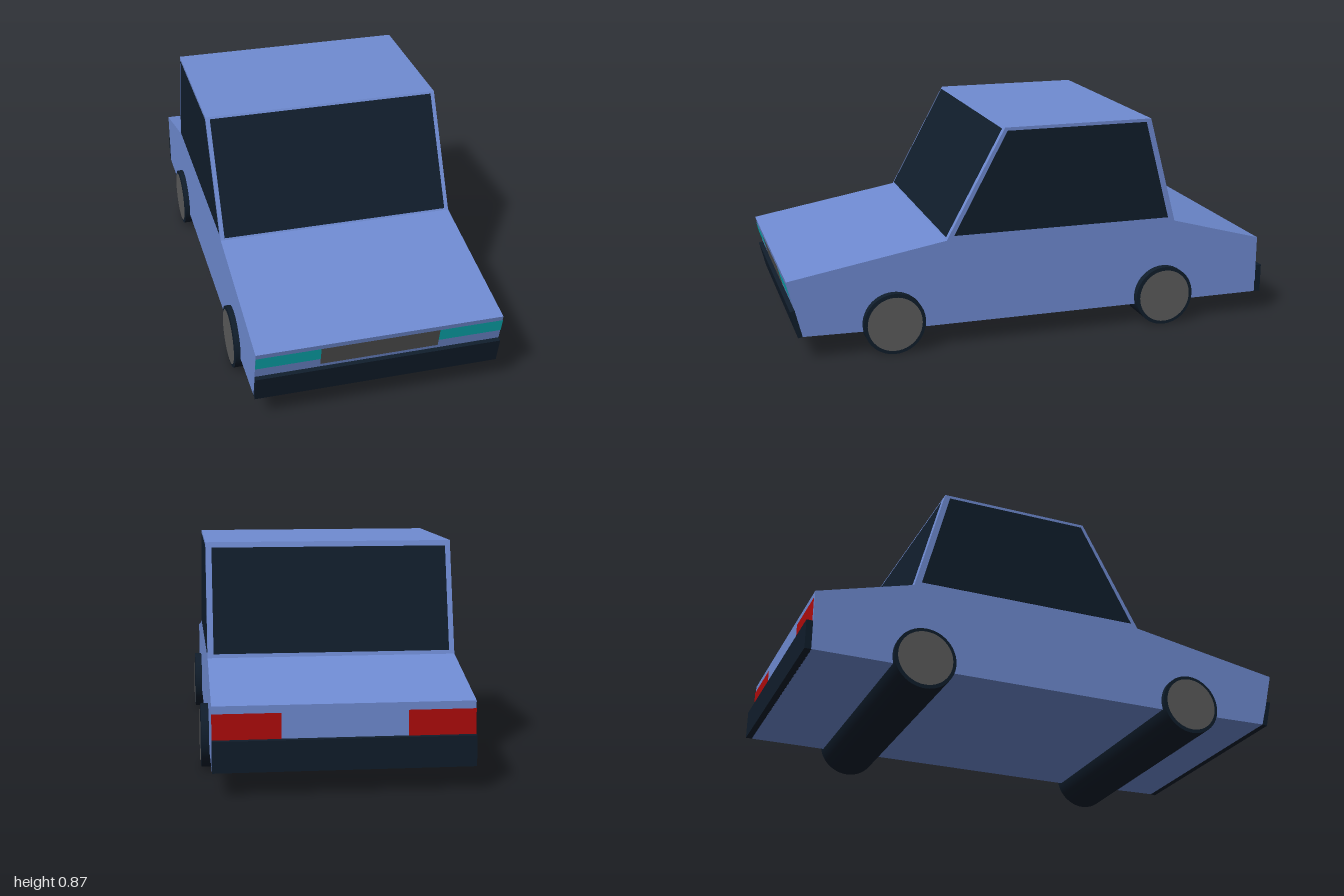
import * as THREE from 'three';

const LEFT = 0.475, RIGHT = -0.483; // body sides
const mat = (color, extra = {}) =>
  Object.assign(new THREE.MeshStandardMaterial({ flatShading: true, ...extra }), { color: new THREE.Color(color) });
const blue = mat(0x6f8bd2);
const glass = mat(0x101d2b);
const black = mat(0x101d2b);
const tyre = mat(0x101d2b, { flatShading: false });
const hub = mat(0x5c5c5c);
const grey = mat(0x515151);
const teal = mat(0x0bb0b5);
const red = mat(0xb00b0b);

// Side profile given as [z, y] points, extruded across the width from x0 to x1
function slab(points, x0, x1) {
  const shape = new THREE.Shape(points.map(([z, y]) => new THREE.Vector2(z, y)));
  const geo = new THREE.ExtrudeGeometry(shape, { depth: x1 - x0, bevelEnabled: false });
  return geo.rotateY(-Math.PI / 2).translate(x1, 0, 0);
}

// Flat panel running across x, from [z, y] point a to b, lifted slightly outward
function panel(x0, x1, a, b, lift = 0.003) {
  const dz = b[0] - a[0], dy = b[1] - a[1], len = Math.hypot(dz, dy);
  const oy = (-dz / len) * lift, oz = (dy / len) * lift;
  const geo = new THREE.BufferGeometry();
  geo.setAttribute('position', new THREE.Float32BufferAttribute([
    x0, a[1] + oy, a[0] + oz, x1, a[1] + oy, a[0] + oz,
    x1, b[1] + oy, b[0] + oz, x0, b[1] + oy, b[0] + oz], 3));
  geo.setIndex([0, 1, 2, 0, 2, 3]);
  geo.computeVertexNormals();
  return geo;
}

// Point at height y on the straight line between two profile points
const at = (p, q, y) => [p[0] + ((q[0] - p[0]) * (y - p[1])) / (q[1] - p[1]), y];

export function createModel() {
  const car = new THREE.Group();
  car.name = 'car';
  const add = (name, geo, material) => {
    const mesh = new THREE.Mesh(geo, material);
    mesh.name = name;
    car.add(mesh);
    return mesh;
  };

  // Body and cabin in one profile
  const chin = [0.945, 0.1], nose = [1, 0.325], cowl = [0.372, 0.433], roofFront = [0.135, 0.866];
  const roofBack = [-0.475, 0.866], deck = [-0.592, 0.433], tail = [-0.975, 0.328], tailLow = [-0.975, 0.09];
  add('body', slab([tailLow, [0.45, 0.09], chin, nose, cowl, roofFront, roofBack, deck, tail], RIGHT, LEFT), blue);

  // Windscreen and rear window
  add('windscreen', panel(-0.467, 0.458, at(cowl, roofFront, 0.44), at(cowl, roofFront, 0.858)), glass);
  add('rearWindow', panel(-0.462, 0.452, at(deck, roofBack, 0.845), at(deck, roofBack, 0.447)), glass);

  // Side windows
  const sideWindow = [[-0.562, 0.45], [0.342, 0.45], [0.125, 0.853], [-0.455, 0.853]];
  add('leftSideWindow', slab(sideWindow, LEFT - 0.002, LEFT + 0.002), glass);
  add('rightSideWindow', slab(sideWindow, RIGHT - 0.002, RIGHT + 0.002), glass);

  // Grille and headlights on the sloping nose
  const front = (y) => at(chin, nose, y);
  add('grille', panel(-0.235, 0.225, front(0.225), front(0.308)), grey);
  add('leftHeadlight', panel(0.225, LEFT, front(0.253), front(0.308)), teal);
  add('rightHeadlight', panel(RIGHT, -0.235, front(0.253), front(0.308)), teal);

  // Tail lights
  add('leftTailLight', panel(0.225, LEFT, [-0.975, 0.3], [-0.975, 0.2]), red);
  add('rightTailLight', panel(RIGHT, -0.235, [-0.975, 0.3], [-0.975, 0.2]), red);

  // Bumpers
  const low = front(0.1), high = front(0.208);
  add('frontBumper', slab([[low[0] - 0.003, 0.1], [low[0] + 0.018, 0.097], [high[0] + 0.018, 0.205], high], RIGHT, LEFT), black);
  add('rearBumper', slab([[-1, 0.09], [-0.973, 0.09], [-0.973, 0.205], [-1, 0.205]], RIGHT, LEFT), black);

  // Wheel pairs are full-width rollers with a hubcap on each end
  for (const [name, z] of [['front', 0.59], ['rear', -0.545]]) {
    const roller = new THREE.CylinderGeometry(0.123, 0.123, 1.008, 48).rotateZ(Math.PI / 2);
    add(name + 'Wheels', roller, tyre).position.set(0, 0.123, z);
    for (const [side, s] of [['Left', 1], ['Right', -1]]) {
      const cap = new THREE.CircleGeometry(0.109, 48).rotateY((s * Math.PI) / 2);
      add(name + side + 'Hubcap', cap, hub).position.set(s * 0.507, 0.123, z);
    }
  }
  return car;
}
